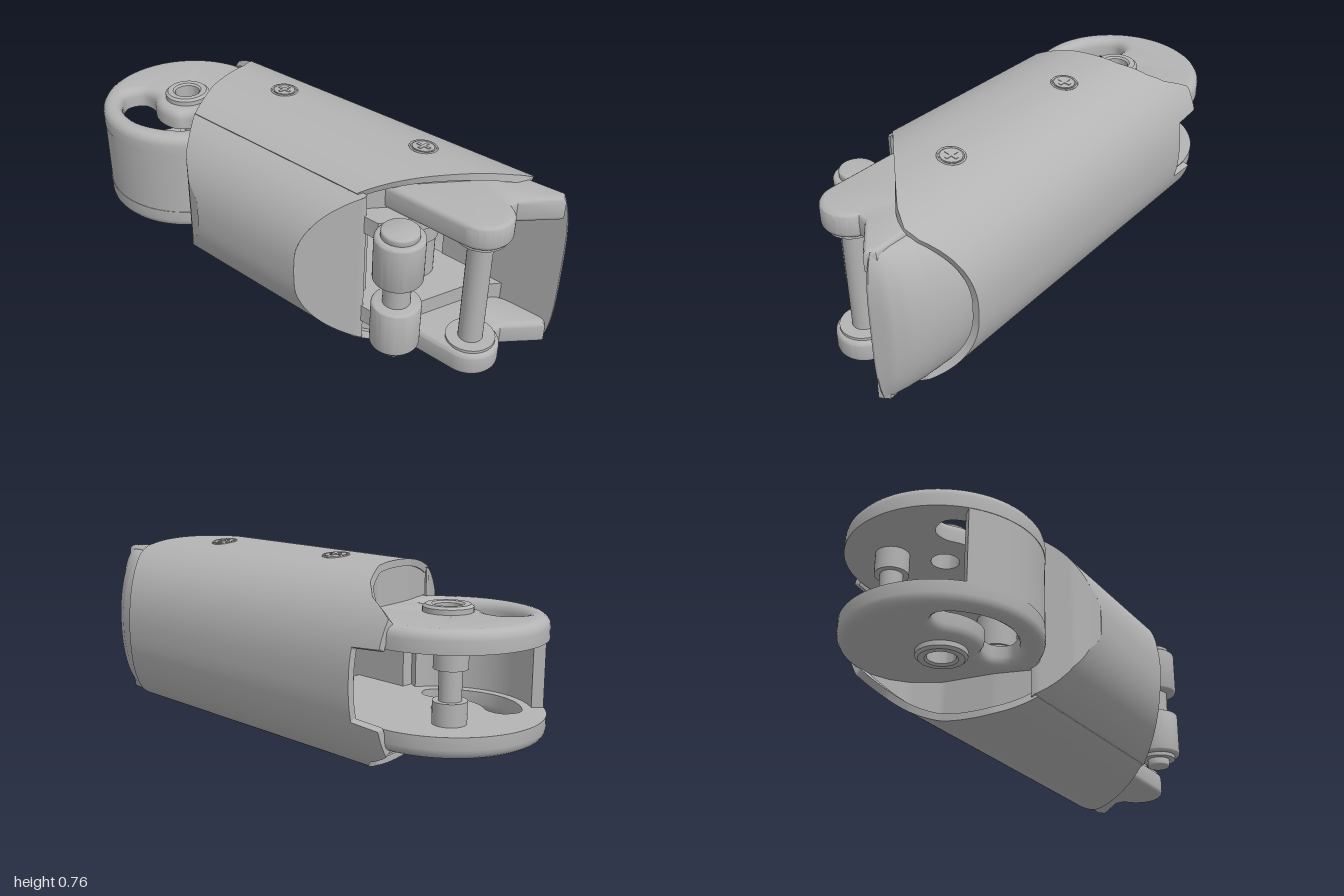
import * as THREE from 'three';
import { toCreasedNormals } from 'three/addons/utils/BufferGeometryUtils.js';

const MID = 0.375; // mirror height of the whole part
const grey = new THREE.MeshStandardMaterial({ color: 0xb4b4b4, side: THREE.DoubleSide });
grey.name = 'plain grey';

// Piecewise linear lookup
function lerpTable(table, x) {
  if (x <= table[0][0]) return table[0][1];
  for (let i = 1; i < table.length; i++) {
    const [a, va] = table[i - 1], [b, vb] = table[i];
    if (x <= b) return va + (vb - va) * (x - a) / (b - a);
  }
  return table[table.length - 1][1];
}

// Surface from a rule f(u, v) => [x, y, z]
function grid(f, nu, nv) {
  const pos = [], idx = [];
  for (let j = 0; j <= nv; j++) for (let i = 0; i <= nu; i++) pos.push(...f(i / nu, j / nv));
  for (let j = 0; j < nv; j++) for (let i = 0; i < nu; i++) {
    const a = j * (nu + 1) + i, b = a + 1, c = a + nu + 1, d = c + 1;
    idx.push(a, b, d, a, d, c);
  }
  const g = new THREE.BufferGeometry();
  g.setAttribute('position', new THREE.Float32BufferAttribute(pos, 3));
  g.setIndex(idx);
  g.computeVertexNormals();
  return g;
}

// Shell cross-section: a slightly squared oval whose right side tapers to the back
function shellPoint(angle, z, scale = 1) {
  const c = Math.cos(angle), s = Math.sin(angle), p = 2 / 2.3;
  const cx = Math.sign(c) * Math.abs(c) ** p, sy = Math.sign(s) * Math.abs(s) ** p;
  const rx = c > 0 ? 0.381 + 0.044 * z : 0.428;
  return [cx * rx * scale, MID + sy * 0.375 * scale, z];
}

// Horizontal slab: outline in (x, -z), between two heights, optionally cut flat by a height rule
function slab(shape, y0, y1, bevel = 0, cut = (y) => y) {
  const g = new THREE.ExtrudeGeometry(shape, {
    depth: y1 - y0 - 2 * bevel, curveSegments: 32, bevelEnabled: bevel > 0,
    bevelThickness: bevel, bevelSize: bevel, bevelOffset: -bevel, bevelSegments: 4,
  });
  g.rotateX(-Math.PI / 2).translate(0, y0 + bevel, 0);
  const p = g.attributes.position;
  for (let i = 0; i < p.count; i++) p.setY(i, cut(p.getY(i)));
  return toCreasedNormals(g, 0.6);
}
const outline = (pts) => new THREE.Shape(pts.map(([x, z]) => new THREE.Vector2(x, -z)));
const circle = (x, z, r) => new THREE.Shape().absarc(x, -z, r, 0, Math.PI * 2);

export function createModel() {
  const model = new THREE.Group();
  const add = (name, geometry) => {
    const m = new THREE.Mesh(geometry, grey);
    m.name = name;
    model.add(m);
    return m;
  };
  const cylinder = (name, x, z, r, y0, y1) =>
    add(name, new THREE.CylinderGeometry(r, r, y1 - y0, 32).translate(x, (y0 + y1) / 2, z));
  // Upper and lower copies about the middle height
  const pair = (name, make, y0, y1) => {
    make(name + 'Upper', y0, y1);
    make(name + 'Lower', 2 * MID - y1, 2 * MID - y0);
  };

  // Main cover, wrapping over the top, right and bottom
  const A = 2.14;
  const frontEdge = [[-0.25, 0.44], [0.15, 0.79], [0.22, 0.83], [0.27, 0.815], [0.41, 0.7]];
  const backEdge = [[-0.25, -0.37], [-0.1, -0.42], [0.1, -0.455], [0.2, -0.515], [0.25, -0.575], [0.295, -0.69]];
  const coverFront = (a) => lerpTable(frontEdge, shellPoint(a, 0.7)[0]);
  const coverBack = (a) => {
    const [x, y] = shellPoint(a, -0.65);
    return Math.abs(y - MID) < 0.135 ? -0.57 : lerpTable(backEdge, x);
  };
  const coverAt = (scale) => (u, v) => {
    const a = (2 * u - 1) * A, b = coverBack(a);
    return shellPoint(a, b + (coverFront(a) - b) * v, scale);
  };
  add('coverOuter', grid(coverAt(1), 200, 24));
  add('coverInner', grid(coverAt(0.93), 200, 24));
  for (const [name, end] of [['coverBackRim', 0], ['coverFrontRim', 1]])
    add(name, grid((u, v) => coverAt(1 - 0.07 * v)(u, end), 200, 1));
  for (const [name, u] of [['coverSeamUpper', 1], ['coverSeamLower', 0]])
    add(name, grid((t, v) => coverAt(1 - 0.07 * v)(u, t), 24, 1));

  // End walls between the cover and the inner plates
  for (const side of [1, -1]) {
    const wall = (edge, inset, half) => grid((u, v) => {
      const a = side * (0.6 + u * (A - 0.6)), z = edge(a) + inset;
      const [x, y] = shellPoint(a, z, 0.985);
      const limit = Math.min(Math.abs(y - MID), half);
      return [x, y + (MID + side * limit - y) * v, z];
    }, 60, 1);
    add('coverBackWall', wall(coverBack, 0.01, 0.215));
    add('coverFrontWall', wall(coverFront, -0.04, 0.235));
  }

  // Left shell, a closed block set slightly below the cover
  const L = A - 0.04;
  const leftFront = (a) => lerpTable([[-0.42, 0.3], [-0.25, 0.47]], shellPoint(a, 0)[0]);
  const leftBack = (a) => lerpTable(
    [[-0.425, -0.2], [-0.41, -0.26], [-0.37, -0.31], [-0.25, -0.38]], shellPoint(a, 0)[0]);
  add('leftShell', grid((u, v) => {
    const a = L + u * 2 * (Math.PI - L), b = leftBack(a);
    return shellPoint(a, b + (leftFront(a) - b) * v, 0.975);
  }, 64, 20));
  for (const [name, edge] of [['leftFrontWall', leftFront], ['leftBackWall', leftBack]])
    add(name, grid((u, v) => {
      const a = L + u * (Math.PI - L), p = shellPoint(a, edge(a), 0.975);
      p[1] += (2 * MID - 2 * p[1]) * v;
      return p;
    }, 24, 1));
  add('leftInnerWall', new THREE.BoxGeometry(0.1, 0.58, 0.76).translate(-0.205, MID, 0.04));

  // Rounded nose at the front right
  const noseX = [[0.5, 0.37], [0.72, 0.37], [0.85, 0.35], [0.92, 0.32], [0.97, 0.28], [1, 0.225]];
  const nose = (flat) => (u, v) => {
    const w = Math.sin((u - 0.5) * Math.PI), z = 0.5 + 0.5 * v;
    const bulge = flat ? 0 : (lerpTable(noseX, z) - 0.215) * Math.sqrt(Math.max(0, 1 - w * w));
    return [0.215 + bulge, MID + w * (0.28 + 0.04 * v), z - 0.03 * w ** 4 * v];
  };
  add('noseOuter', grid(nose(false), 40, 50));
  add('noseInner', grid(nose(true), 40, 50));
  add('noseFrontFace', grid((u, v) => {
    const p = nose(false)(u, 1), q = nose(true)(u, 1);
    return p.map((c, i) => c + (q[i] - c) * v);
  }, 40, 1));

  // Front arms ending in the round knuckle, with the tall pin between them
  const arm = new THREE.Shape();
  arm.moveTo(0.14, -0.45).lineTo(-0.15, -0.45).lineTo(-0.15, -0.82);
  arm.absarc(-0.045, -0.82, 0.105, Math.PI, Math.PI * 1.85, false);
  arm.lineTo(0.08, -0.87).lineTo(0.2, -0.985).lineTo(0.235, -0.96).lineTo(0.225, -0.8).lineTo(0.17, -0.6);
  pair('frontArm', (n, a, b) => add(n, slab(arm, a, b, 0.02)), 0.605, 0.7);
  pair('frontCollar', (n, a, b) => cylinder(n, -0.045, 0.82, 0.09, a, b), 0.595, 0.61);
  cylinder('frontPin', -0.045, 0.82, 0.045, 0.14, 0.61);

  // Inner frame plates reaching to the side hinge
  const frame = outline([[-0.29, 0], [-0.29, 0.3], [-0.24, 0.45], [-0.24, 0.53], [-0.17, 0.58],
    [0.1, 0.68], [0.22, 0.78], [0.22, 0]]);
  pair('framePlate', (n, a, b) => add(n, slab(frame, a, b)), 0.54, 0.61);

  // Side hinge
  pair('hingeKnuckle', (n, a, b) => add(n, slab(circle(-0.24, 0.625, 0.09), a, b, 0.012)), 0.425, 0.61);
  cylinder('hingePin', -0.24, 0.625, 0.05, 0.3, 0.45);
  add('hingePinHead', slab(circle(-0.24, 0.625, 0.068), 0.6, 0.635, 0.008));
  cylinder('hingeWasher', -0.24, 0.625, 0.07, 0.125, 0.145);
  add('hingePinTail', slab(circle(-0.24, 0.625, 0.045), 0.095, 0.13, 0.006));

  // Rear clevis: two round plates, rounded outside and flat inside, with a crescent slot
  const CX = -0.045, CZ = -0.65;
  const plate = new THREE.Shape();
  plate.absarc(CX, -CZ, 0.35, -0.5, Math.PI + 0.9, false);
  plate.lineTo(-0.25, 0.1).lineTo(0.24, 0.1);
  plate.holes.push(new THREE.Path().absarc(CX, -CZ, 0.05, 0, Math.PI * 2, true));
  const slot = [[-0.13, -0.77], [-0.165, -0.71], [-0.18, -0.65], [-0.17, -0.58], [-0.13, -0.54],
    [-0.125, -0.47], [-0.18, -0.435], [-0.26, -0.5], [-0.315, -0.65], [-0.285, -0.78], [-0.2, -0.86], [-0.135, -0.83]];
  const slotCurve = new THREE.CatmullRomCurve3(slot.map(([x, z]) => new THREE.Vector3(x, -z, 0)), true);
  plate.holes.push(new THREE.Path(slotCurve.getPoints(60).slice(0, 60).map((p) => new THREE.Vector2(p.x, p.y))));
  add('clevisPlateUpper', slab(plate, 0.42, 0.59, 0.036, (y) => Math.max(y, 0.51)));
  add('clevisPlateLower', slab(plate, 0.16, 0.33, 0.036, (y) => Math.min(y, 0.24)));

  // Bored bosses on the plates
  const boss = [[0.05, 0], [0.05, 0.1], [0.058, 0.107], [0.08, 0.107], [0.09, 0.098], [0.09, 0.07]];
  for (const side of [1, -1]) {
    const g = new THREE.LatheGeometry(boss.map(([r, y]) => new THREE.Vector2(r, y)), 40);
    const m = add('clevisBoss', toCreasedNormals(g, 0.5));
    m.position.set(CX, MID + side * 0.135, CZ);
    m.rotation.x = side > 0 ? 0 : Math.PI;
  }

  // Curved wall joining the plates on the left
  const web = new THREE.Shape();
  web.absarc(CX, -CZ, 0.348, Math.PI - 0.72, Math.PI + 1.1, false);
  web.absarc(CX, -CZ, 0.305, Math.PI + 1.1, Math.PI - 0.72, true);
  add('clevisWall', slab(web, 0.2, 0.55));

  // Stop pin between the plates
  pair('stopPinCollar', (n, a, b) => cylinder(n, 0.085, -0.78, 0.06, a, b), 0.43, 0.515);
  cylinder('stopPin', 0.085, -0.78, 0.04, 0.3, 0.45);

  // Screws in the cover, with their inner posts
  for (const [x, z] of [[0.05, -0.18], [0.08, 0.47]]) {
    cylinder('screwPostUpper', x, z, 0.078, MID, 0.7);
    cylinder('screwPostLower', x, z, 0.07, 0.05, MID);
    const screw = new THREE.Group();
    screw.name = 'screw';
    const parts = [
      new THREE.TorusGeometry(0.049, 0.004, 6, 32).rotateX(Math.PI / 2),
      new THREE.CylinderGeometry(0.041, 0.041, 0.006, 32),
      new THREE.BoxGeometry(0.055, 0.005, 0.012).translate(0, 0.003, 0),
      new THREE.BoxGeometry(0.012, 0.005, 0.055).translate(0, 0.003, 0),
    ];
    for (const [i, g] of parts.entries()) {
      const m = new THREE.Mesh(g, grey);
      m.name = ['screwRim', 'screwHead', 'screwCross', 'screwCross'][i];
      screw.add(m);
    }
    screw.position.set(x, shellPoint(Math.acos((x / 0.39) ** 1.15), z)[1], z);
    screw.rotation.z = -x * 1.4;
    model.add(screw);
  }
  return model;
}
